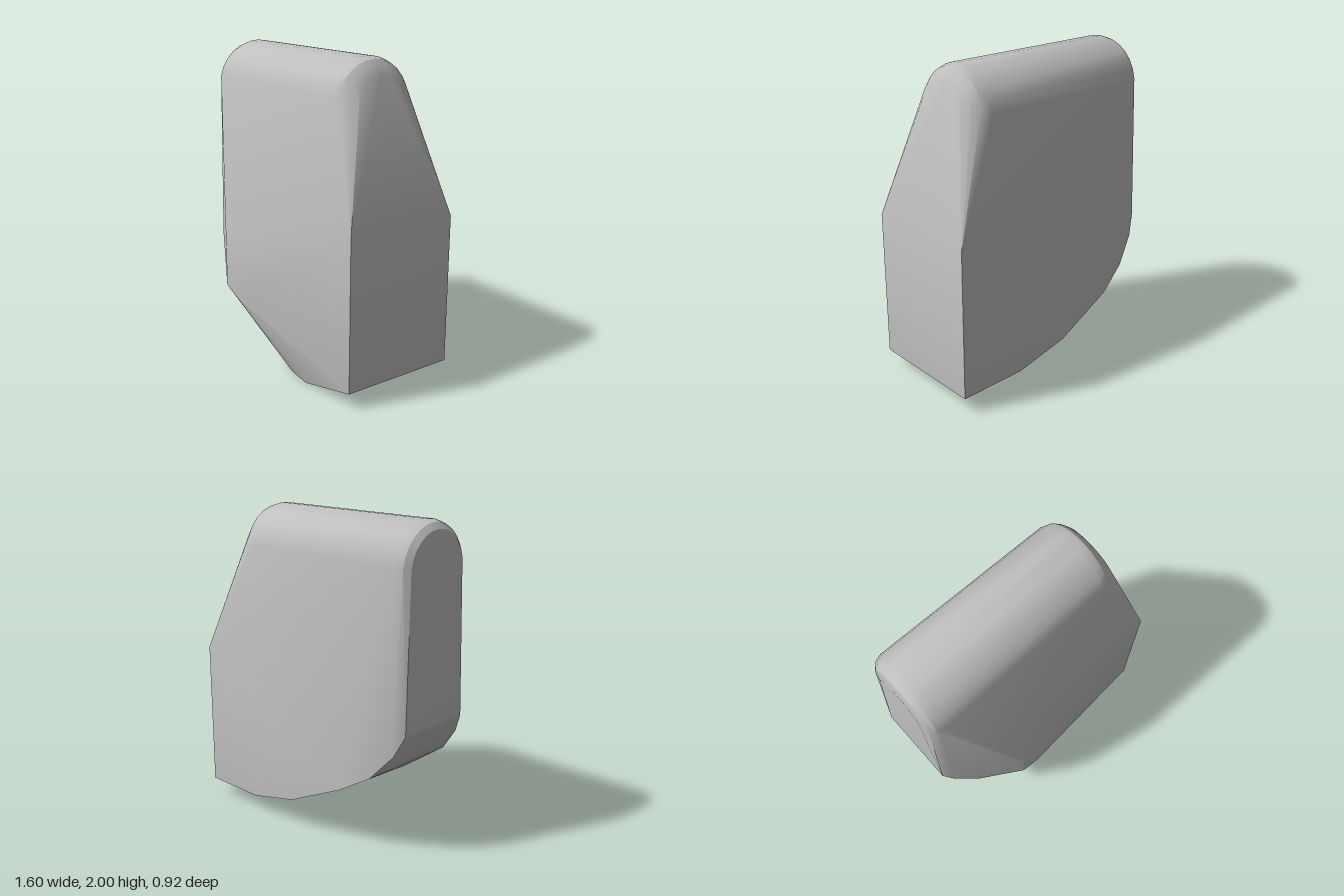
import * as THREE from 'three';
import { ConvexGeometry } from 'three/addons/geometries/ConvexGeometry.js';
import { toCreasedNormals } from 'three/addons/utils/BufferGeometryUtils.js';

export function createModel() {
  const group = new THREE.Group();
  const stone = new THREE.MeshStandardMaterial({ color: 0xbfbfbf });
  stone.name = 'stone grey';
  const points = [];
  const add = (x, y, z) => points.push(new THREE.Vector3(x, y, z));

  // Rounded ridge along the top: arcs that shrink towards both ends
  const ridge = (x, inset, lean = 0) => {
    const r = 0.285 - inset;
    for (let i = 0; i <= 12; i++) {
      const a = THREE.MathUtils.degToRad(12 + (160 * i) / 12);
      const y = 1.715 + r * Math.sin(a);
      add(x + lean * (1.9 - y), y, -0.05 + r * Math.cos(a));
    }
  };
  ridge(-0.8, 0.11);
  ridge(-0.785, 0.05);
  ridge(-0.755, 0.015);
  ridge(-0.71, 0);
  ridge(0.47, 0);
  ridge(0.52, 0.015);
  ridge(0.555, 0.05, 0.1);
  ridge(0.58, 0.1, 0.22);

  // Flat end on the left side
  for (const y of [0.1, 1.05]) {
    add(0.8, y, 0.325);
    add(0.8, y, -0.44);
  }

  // Narrow end with its curved lower corner
  add(-0.8, 0.8, 0.2);
  add(-0.8, 0.8, -0.32);
  add(-0.74, 0.67, 0.24);
  add(-0.74, 0.67, -0.355);
  add(-0.6, 0.5, 0.31);
  add(-0.6, 0.51, -0.4);

  // Front bulge and foot
  add(-0.33, 0.46, 0.46);
  add(-0.33, 0.7, 0.46);
  add(-0.2, 0.4, 0.455);
  add(0.38, 0, 0.33);
  add(0.2, 0, 0.31);
  add(0.22, 0, 0.22);
  add(-0.45, 0.39, 0.1);

  // Curved lower back edge
  add(0.36, 0.11, -0.45);
  add(0, 0.2, -0.46);
  add(-0.4, 0.39, -0.445);

  const geometry = toCreasedNormals(new ConvexGeometry(points), 0.42);
  const block = new THREE.Mesh(geometry, stone);
  block.name = 'facetedBlock';
  group.add(block);
  return group;
}
